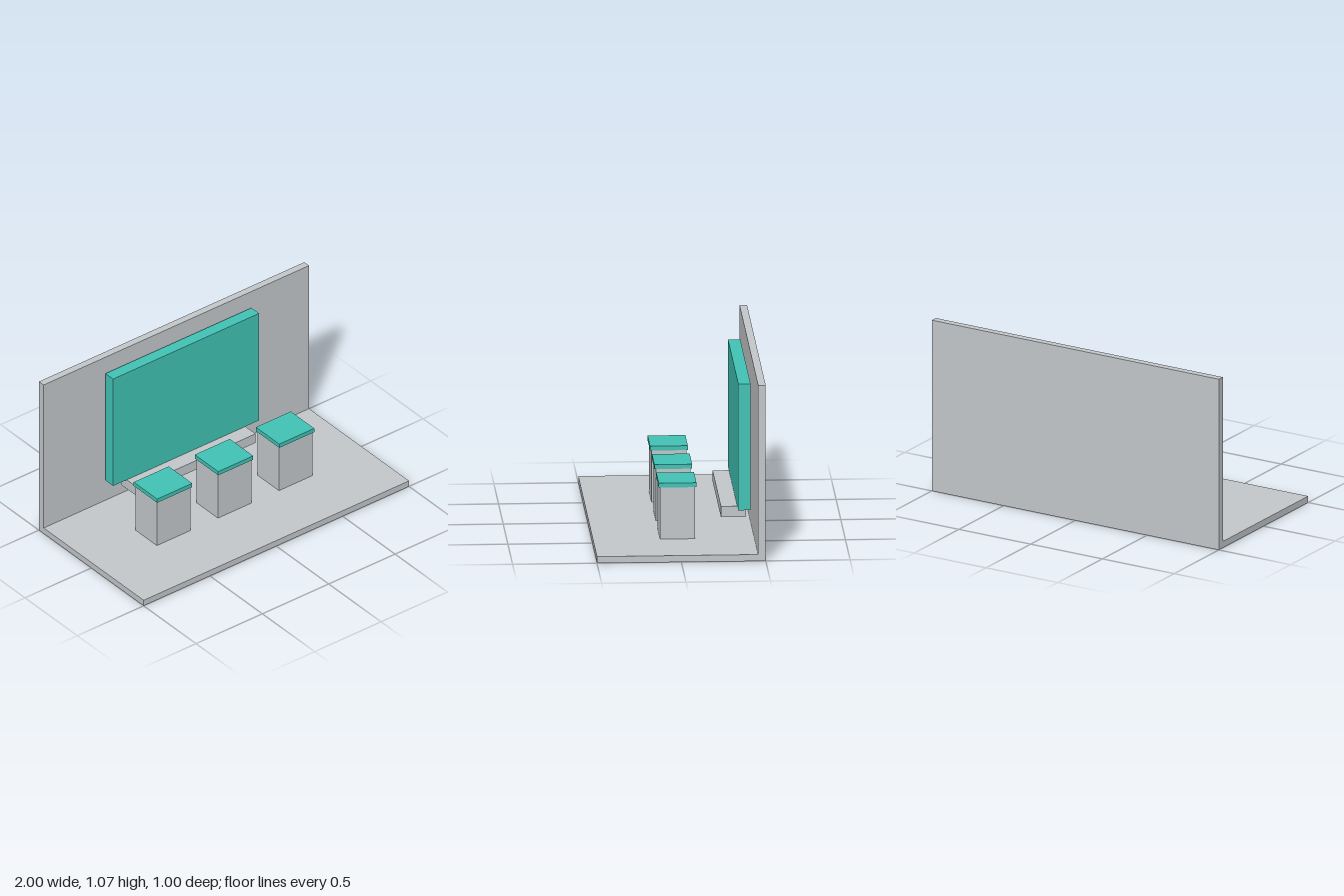
import * as THREE from 'three';

export function createModel() {
  const model = new THREE.Group();
  model.name = 'displayBooth';
  const grey = new THREE.MeshStandardMaterial({ name: 'light grey', color: 0xc3c7ca });
  const teal = new THREE.MeshStandardMaterial({ name: 'teal', color: 0x41c2b4 });

  // Box given by its minimum and maximum on each axis
  function box(parent, name, material, [x0, x1], [y0, y1], [z0, z1]) {
    const mesh = new THREE.Mesh(new THREE.BoxGeometry(x1 - x0, y1 - y0, z1 - z0), material);
    mesh.position.set((x0 + x1) / 2, (y0 + y1) / 2, (z0 + z1) / 2);
    mesh.name = name;
    parent.add(mesh);
  }

  // Floor slab and back wall
  box(model, 'floor', grey, [-1, 1], [0, 0.04], [-0.5, 0.5]);
  box(model, 'backWall', grey, [-1, 1], [0.04, 1.07], [-0.5, -0.455]);

  // Upright panel with the ledge below it
  box(model, 'displayPanel', teal, [-0.55, 0.55], [0.2, 0.97], [-0.435, -0.362]);
  box(model, 'ledge', grey, [-0.447, 0.447], [0.135, 0.2], [-0.413, -0.265]);

  // Three pedestals with overhanging tops
  for (const x of [-0.46, 0, 0.46]) {
    const pedestal = new THREE.Group();
    pedestal.name = 'pedestal';
    pedestal.position.x = x;
    box(pedestal, 'pedestalBase', grey, [-0.127, 0.127], [0.04, 0.355], [-0.103, 0.103]);
    box(pedestal, 'pedestalTop', teal, [-0.132, 0.132], [0.355, 0.382], [-0.112, 0.112]);
    model.add(pedestal);
  }

  return model;
}
